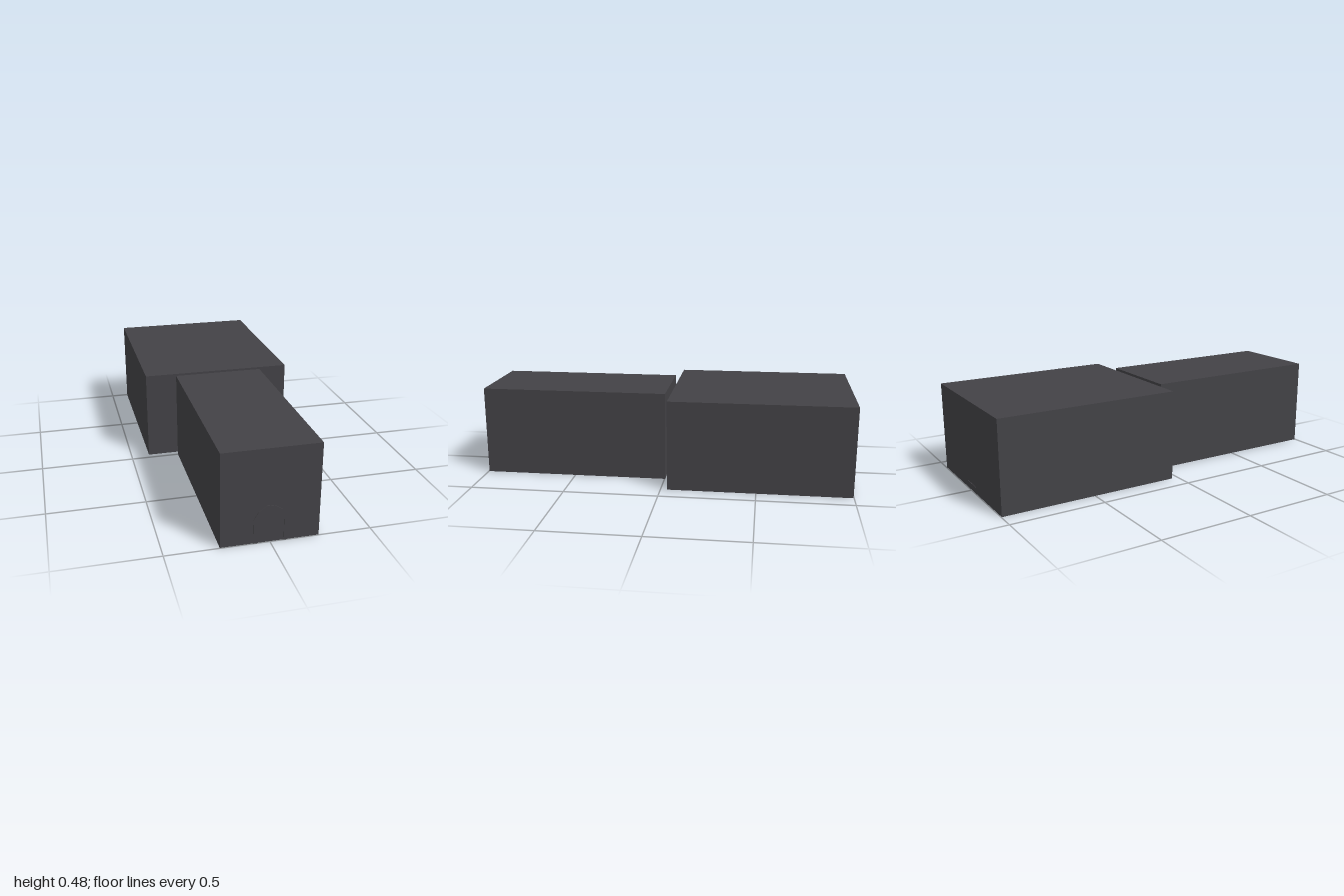
import * as THREE from 'three';

const charcoal = new THREE.MeshStandardMaterial({ color: 0x434246 });
charcoal.name = 'charcoal';

// Half outline of a faceted arch, from the foot up to the crown.
const OUTER = [[0.083, 0], [0.083, 0.122], [0.059, 0.163], [0.018, 0.19]];
const INNER = [[0.065, 0], [0.065, 0.122], [0.047, 0.151], [0.017, 0.17]];

// Full outline, mirrored about the middle.
function archPoints(half, sx = 1, sy = 1) {
  const right = half.map(([x, y]) => new THREE.Vector2(x * sx, y * sy));
  const left = right.map((p) => new THREE.Vector2(-p.x, p.y)).reverse();
  return [...right, ...left];
}

function addMesh(group, name, geometry, x, y, z) {
  const mesh = new THREE.Mesh(geometry, charcoal);
  mesh.name = name;
  mesh.position.set(x, y, z);
  group.add(mesh);
  return mesh;
}

function addBox(group, name, w, h, d, x, y, z) {
  return addMesh(group, name, new THREE.BoxGeometry(w, h, d), x, y, z);
}

function extrude(shape, depth) {
  return new THREE.ExtrudeGeometry(shape, { depth, bevelEnabled: false });
}

export function createModel() {
  const model = new THREE.Group();
  model.name = 'twoBlockBuilding';

  // Long narrow hall in front, wide hall behind
  addBox(model, 'frontHall', 0.478, 0.478, 1.0, 0.001, 0.239, 0.497);
  addBox(model, 'rearHall', 0.802, 0.478, 0.963, 0, 0.239, -0.5155);

  // Thin arched surround around the front doorway
  const frame = new THREE.Shape([
    ...archPoints(OUTER),
    ...archPoints(INNER).reverse(),
  ]);
  addMesh(model, 'doorFrame', extrude(frame, 0.004), 0.002, 0, 0.996);

  // Arched passage bridging the gap between the halls
  const passage = new THREE.Shape(archPoints(OUTER, 0.94, 0.93));
  addMesh(model, 'passage', extrude(passage, 0.036), 0, 0, -0.037);

  // Narrow sill low on the rear wall
  addBox(model, 'rearSill', 0.11, 0.008, 0.004, 0, 0.034, -0.998);

  return model;
}
